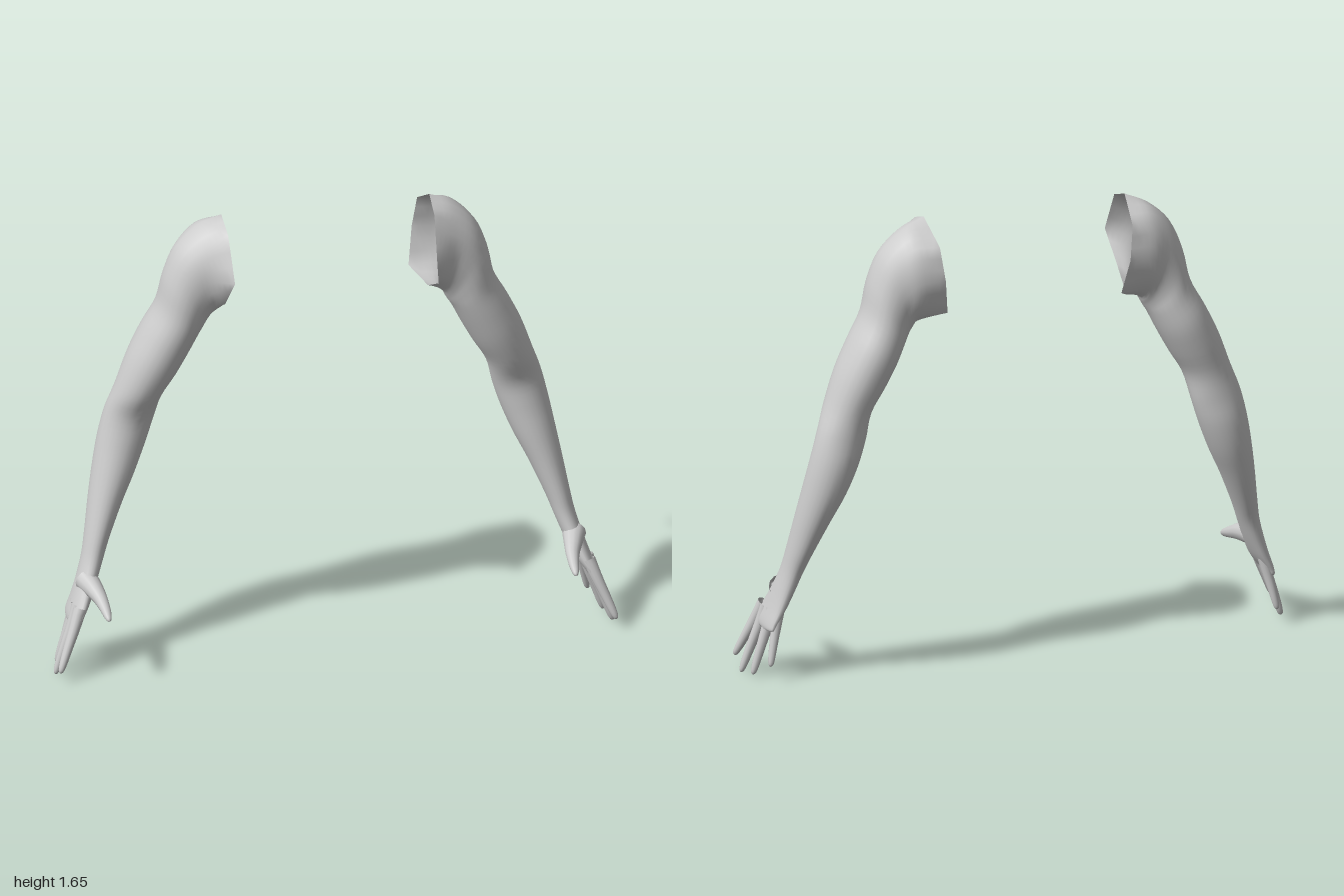
import * as THREE from 'three';

const V = (x, y, z) => new THREE.Vector3(x, y, z);
const SEG = 24;

// Smooth skin through a list of rings (same point count each); side -1 mirrors it
function skin(rings, steps, side) {
  const n = rings[0].length, rows = (rings.length - 1) * steps;
  const columns = rings[0].map((_, j) => new THREE.CatmullRomCurve3(rings.map(r => r[j]), false, 'catmullrom', 0.5));
  const pos = [], index = [];
  for (let i = 0; i <= rows; i++) {
    for (const c of columns) {
      const p = c.getPoint(i / rows);
      pos.push(p.x * side, p.y, p.z);
    }
  }
  for (let i = 0; i < rows; i++) {
    for (let j = 0; j < n; j++) {
      const a = i * n + j, b = i * n + (j + 1) % n, c = a + n, d = b + n;
      if (side > 0) index.push(a, b, c, b, d, c);
      else index.push(a, c, b, b, c, d);
    }
  }
  const g = new THREE.BufferGeometry();
  g.setAttribute('position', new THREE.Float32BufferAttribute(pos, 3));
  g.setIndex(index);
  g.computeVertexNormals();
  return g;
}

// Arm sections: outer x, y, inner x, y, front z, back z
const SECTIONS = [
  [0.45, 1.62, 0.41, 1.283, 0.05, -0.21],
  [0.53, 1.545, 0.425, 1.258, 0.038, -0.19],
  [0.575, 1.44, 0.437, 1.237, 0.036, -0.187],
  [0.6, 1.33, 0.453, 1.21, 0.034, -0.197],
  [0.65, 1.235, 0.487, 1.14, 0.03, -0.21],
  [0.7, 1.13, 0.53, 1.06, 0.02, -0.205],
  [0.743, 1.01, 0.577, 0.98, -0.003, -0.193],
  [0.775, 0.92, 0.602, 0.885, -0.035, -0.195],
  [0.8, 0.82, 0.63, 0.795, -0.03, -0.2],
  [0.82, 0.72, 0.672, 0.69, -0.015, -0.188],
  [0.84, 0.61, 0.723, 0.585, 0, -0.158],
  [0.86, 0.49, 0.775, 0.465, 0.018, -0.115],
  [0.876, 0.405, 0.803, 0.39, 0.032, -0.085],
  [0.897, 0.33, 0.832, 0.315, 0.06, -0.073],
  [0.918, 0.265, 0.862, 0.25, 0.092, -0.068],
  [0.936, 0.212, 0.893, 0.205, 0.113, -0.065],
  [0.938, 0.185, 0.908, 0.183, 0.1, -0.055],
  [0.926, 0.178, 0.922, 0.178, 0.03, 0.02],
];

// Angular open edge at the shoulder, from the top round by the front
const RIM = [
  V(0.37, 1.655, -0.07), V(0.367, 1.62, 0.03), V(0.36, 1.47, 0.11), V(0.38, 1.36, 0.04),
  V(0.37, 1.29, -0.09), V(0.32, 1.33, -0.18), V(0.34, 1.46, -0.22), V(0.355, 1.58, -0.2),
];

function armRings() {
  const per = SEG / RIM.length;
  const rim = Array.from({ length: SEG }, (_, j) => {
    const k = Math.floor(j / per);
    return RIM[k].clone().lerp(RIM[(k + 1) % RIM.length], (j % per) / per);
  });
  const rings = SECTIONS.map(([ox, oy, ix, iy, zf, zb]) => Array.from({ length: SEG }, (_, j) => {
    const a = j / SEG * Math.PI * 2, c = Math.cos(a), s = Math.sin(a);
    return V((ox + ix) / 2 + c * (ox - ix) / 2, (oy + iy) / 2 + c * (oy - iy) / 2, (zf + zb) / 2 + s * (zf - zb) / 2);
  }));
  return [rim, ...rings];
}

// Tapered digit with a rounded tip along a path
function digitRings(path, r0, r1) {
  const curve = new THREE.CatmullRomCurve3(path);
  return [0, 0.2, 0.4, 0.6, 0.8, 0.92, 0.98, 1].map((t, i) => {
    const p = curve.getPoint(t), d = curve.getTangent(t);
    const e1 = V(1, 0, 0).addScaledVector(d, -d.x).normalize();
    const e2 = d.clone().cross(e1);
    const r = THREE.MathUtils.lerp(r0, r1, t) * [1, 1, 1, 1, 1, 0.9, 0.6, 0.03][i];
    return Array.from({ length: 12 }, (_, j) => {
      const a = j / 12 * Math.PI * 2;
      return p.clone().addScaledVector(e1, Math.cos(a) * r).addScaledVector(e2, Math.sin(a) * r);
    });
  });
}

const DIGITS = {
  thumb: [[V(0.868, 0.325, 0.01), V(0.85, 0.312, 0.075), V(0.836, 0.292, 0.135), V(0.83, 0.262, 0.22)], 0.042, 0.012],
  indexFinger: [[V(0.905, 0.25, 0.078), V(0.93, 0.185, 0.102), V(0.962, 0.11, 0.127), V(0.99, 0.042, 0.15)], 0.024, 0.012],
  middleFinger: [[V(0.905, 0.25, 0.045), V(0.928, 0.18, 0.057), V(0.962, 0.09, 0.067), V(0.992, 0.003, 0.075)], 0.024, 0.012],
  ringFinger: [[V(0.9, 0.25, 0.005), V(0.92, 0.18, 0.008), V(0.948, 0.095, 0.006), V(0.973, 0.014, 0.005)], 0.023, 0.012],
  littleFinger: [[V(0.892, 0.25, -0.035), V(0.905, 0.19, -0.044), V(0.92, 0.125, -0.057), V(0.933, 0.062, -0.069)], 0.021, 0.011],
};

export function createModel() {
  const model = new THREE.Group();
  model.name = 'arms';
  const material = new THREE.MeshStandardMaterial({ color: 0xcccccc, side: THREE.DoubleSide });
  for (const side of [1, -1]) {
    const arm = new THREE.Group();
    arm.name = side > 0 ? 'leftArm' : 'rightArm';
    const add = (name, rings, steps) => {
      const mesh = new THREE.Mesh(skin(rings, steps, side), material);
      mesh.name = name;
      arm.add(mesh);
    };
    // Hollow sleeve from shoulder to palm, then the digits
    add('armAndPalm', armRings(), 4);
    for (const [name, [path, r0, r1]] of Object.entries(DIGITS)) add(name, digitRings(path, r0, r1), 2);
    model.add(arm);
  }
  return model;
}
